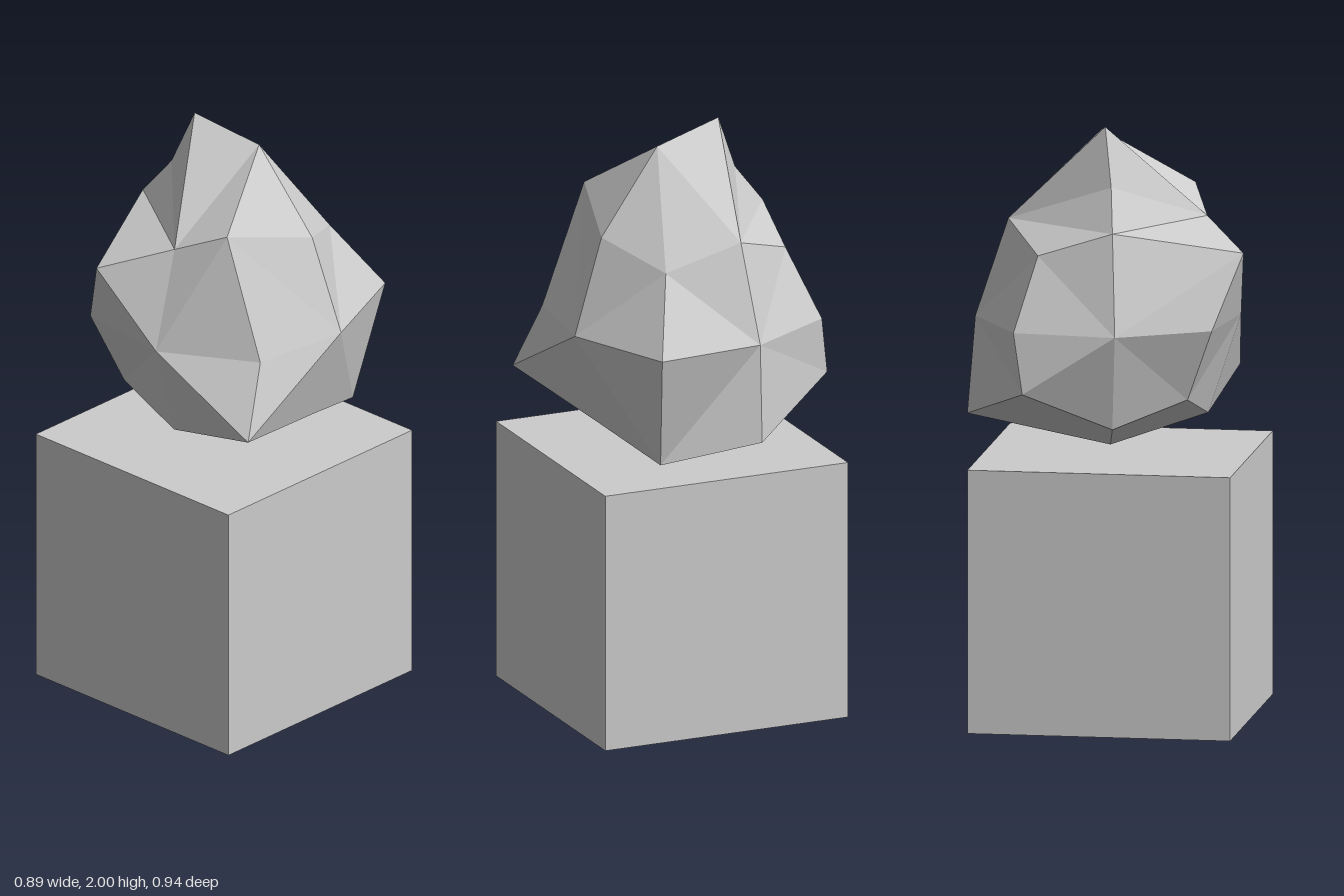
import * as THREE from 'three';

const SIDES = 8;

// Three rings of eight points round the boulder, starting at the front and turning towards +x
const shoulder = [
  [0.05, 1.675, 0.315], [0.225, 1.755, 0.247], [0.307, 1.667, -0.075], [0.174, 1.59, -0.298],
  [-0.084, 1.672, -0.33], [-0.306, 1.588, -0.195], [-0.338, 1.674, 0.06], [-0.159, 1.59, 0.47],
];
const waist = [
  [0.07, 0.425], [0.377, 0.247], [0.415, -0.1], [0.264, -0.47],
  [-0.106, -0.437], [-0.409, -0.26], [-0.445, 0.085], [-0.271, 0.382],
].map(([x, z]) => [x, 1.345, z]);
const underside = [
  [0.05, 1.013, 0.318], [0.432, 1.11, 0.363], [0.312, 1.02, -0.075], [0.221, 0.948, -0.36],
  [-0.1, 1.015, -0.465], [-0.444, 1.145, -0.225], [-0.34, 1.017, 0.06], [-0.205, 1.1, 0.29],
];
const foot = [-0.01, 0.907, 0];
const peak = [-0.153, 2, 0.006];
const crest = [0.092, 1.947, -0.046];
const notch = [-0.228, 1.81, 0.038];

function boulderGeometry() {
  const positions = [];
  const face = (...corners) => corners.forEach((p) => positions.push(...p));

  // Side bands: the diagonals alternate so they meet at the odd corners
  [[shoulder, waist], [waist, underside]].forEach(([up, low], band) => {
    for (let i = 0; i < SIDES; i++) {
      const j = (i + 1) % SIDES;
      if ((i + band) % 2 === 1) {
        face(up[i], low[i], low[j]);
        face(up[i], low[j], up[j]);
      } else {
        face(up[i], low[i], up[j]);
        face(up[j], low[i], low[j]);
      }
    }
  });

  // Bottom fan
  for (let i = 0; i < SIDES; i++) face(foot, underside[(i + 1) % SIDES], underside[i]);

  // Broken top: a fan round the crest, then the ridge down past the peak and notch
  const s = shoulder;
  for (let i = 0; i < 4; i++) face(crest, s[i], s[i + 1]);
  face(crest, s[4], peak);
  face(peak, s[4], notch);
  face(notch, s[4], s[6]);
  face(s[4], s[5], s[6]);
  face(notch, s[6], s[0]);
  face(peak, notch, s[0]);
  face(peak, s[0], crest);
  face(s[6], s[7], s[0]);

  const geometry = new THREE.BufferGeometry();
  geometry.setAttribute('position', new THREE.Float32BufferAttribute(positions, 3));
  geometry.computeVertexNormals();
  return geometry;
}

export function createModel() {
  const group = new THREE.Group();
  const material = new THREE.MeshStandardMaterial({ color: 0xcccccc, flatShading: true });

  // Cube the boulder hovers over
  const pedestal = new THREE.Mesh(new THREE.BoxGeometry(0.88, 0.885, 0.88), material);
  pedestal.name = 'pedestal';
  pedestal.position.set(0.004, 0.4425, 0.03);
  group.add(pedestal);

  // Faceted rock
  const boulder = new THREE.Mesh(boulderGeometry(), material);
  boulder.name = 'boulder';
  group.add(boulder);

  return group;
}
